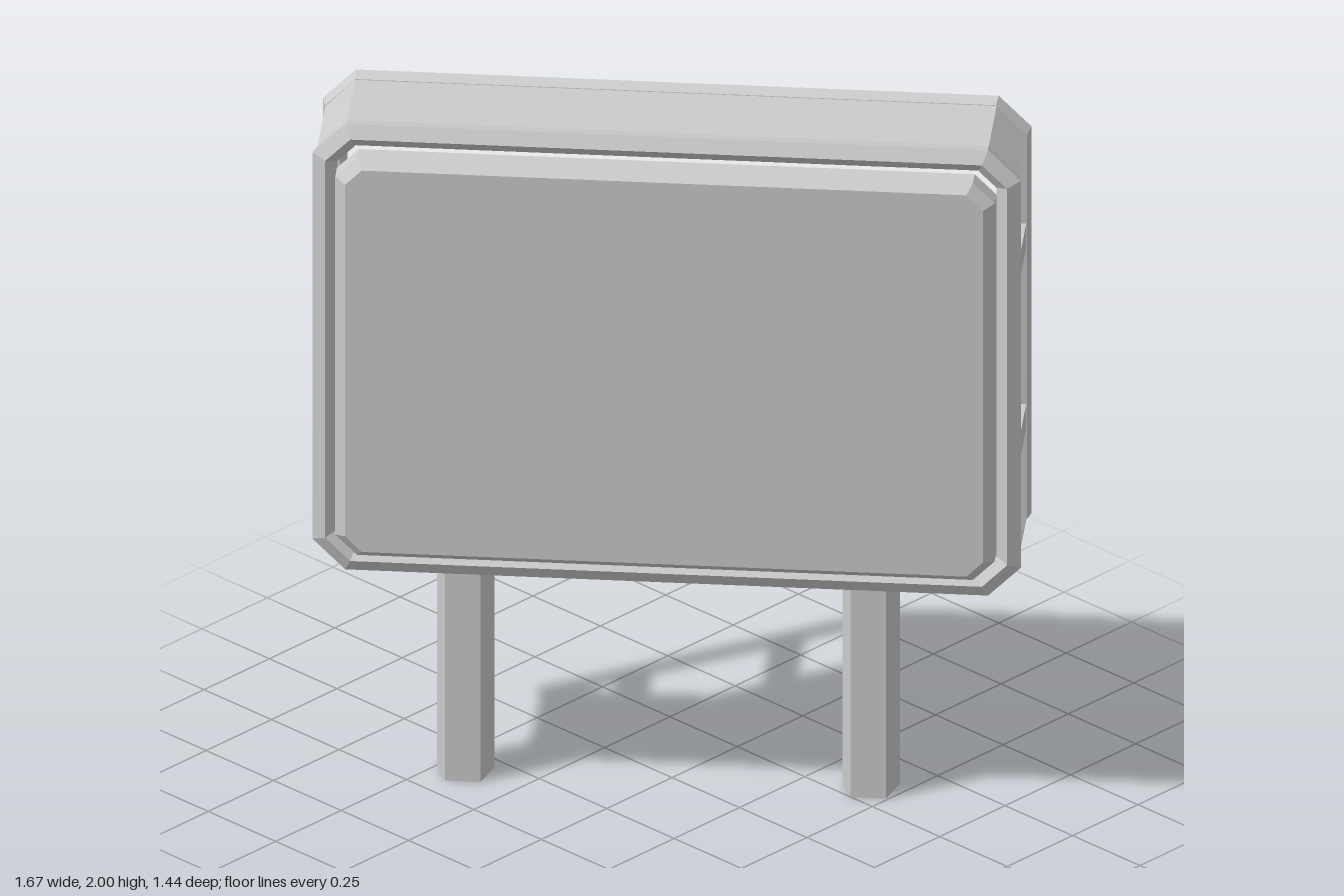
import * as THREE from 'three';

const HALF_W = 0.947, HALF_H = 0.667, MID_Y = 1.333;
const YAW = THREE.MathUtils.degToRad(39);
const material = new THREE.MeshStandardMaterial({ color: 0xcccccc, flatShading: true });
const openMaterial = new THREE.MeshStandardMaterial({
  color: 0xcccccc, flatShading: true, side: THREE.DoubleSide,
});

// Rectangle with cut corners, counter-clockwise seen from +z
function cutRectangle(w, h, c, z) {
  const quarter = [[w, h - c], [w - c, h]];
  const mirrored = (sx, sy) => quarter.map(([x, y]) => [x * sx, y * sy, z]);
  return [
    ...mirrored(1, 1), ...mirrored(-1, 1).reverse(),
    ...mirrored(-1, -1), ...mirrored(1, -1).reverse(),
  ];
}

// Flat-faced skin over a list of rings
function loft(rings, loop) {
  const positions = [];
  const count = rings[0].length;
  const triangle = (p, q, r) => {
    const same = (s, t) => s.every((v, k) => Math.abs(v - t[k]) < 1e-9);
    if (!same(p, q) && !same(q, r) && !same(r, p)) positions.push(...p, ...q, ...r);
  };
  for (let i = 0; i < rings.length - (loop ? 0 : 1); i++) {
    const low = rings[i], high = rings[(i + 1) % rings.length];
    for (let j = 0; j < count; j++) {
      const k = (j + 1) % count;
      triangle(low[j], low[k], high[k]);
      triangle(low[j], high[k], high[j]);
    }
  }
  const geometry = new THREE.BufferGeometry();
  geometry.setAttribute('position', new THREE.Float32BufferAttribute(positions, 3));
  geometry.computeVertexNormals();
  return geometry;
}

// Five-sided bar swept around the frame outline; side is 1 for front, -1 for back
function rimGeometry(side) {
  const rings = [];
  for (let i = 0; i < 5; i++) {
    const angle = 0.43 + i * Math.PI * 0.4;
    const offset = -0.032 + 0.035 * Math.cos(angle);
    const z = side * (0.1445 + 0.035 * Math.sin(angle));
    rings.push(cutRectangle(HALF_W + offset, HALF_H + offset, 0.088 + offset * 0.586, z));
  }
  if (side < 0) rings.reverse();
  return loft(rings, true);
}

// Top or bottom panel with its sloping corners
function panelGeometry(side) {
  const half = [[0.937, 0.574], [0.857, 0.657], [0.84, 0.614], [0.893, 0.53]];
  const [a, b, c, d] = half.map(([x, y]) => new THREE.Vector2(x, y * side));
  const flip = (p) => new THREE.Vector2(-p.x, p.y);
  const shape = new THREE.Shape([a, b, flip(b), flip(a), flip(d), flip(c), c, d]);
  return new THREE.ExtrudeGeometry(shape, { depth: 0.236, bevelEnabled: false }).translate(0, 0, -0.118);
}

export function createModel() {
  const model = new THREE.Group();
  model.name = 'billboard';
  model.rotation.y = YAW;

  const add = (name, geometry, x, y, z, surface = material) => {
    const mesh = new THREE.Mesh(geometry, surface);
    mesh.name = name;
    mesh.position.set(x, y, z);
    model.add(mesh);
  };

  // Open box frame: two rims joined by top and bottom panels
  add('frontRim', rimGeometry(1), 0, MID_Y, 0);
  add('backRim', rimGeometry(-1), 0, MID_Y, 0);
  add('topPanel', panelGeometry(1), 0, MID_Y, 0);
  add('bottomPanel', panelGeometry(-1), 0, MID_Y, 0);

  // Display board with a bevelled front edge
  const board = loft([
    cutRectangle(0, 0, 0, 0.16),
    cutRectangle(0.881, 0.594, 0.058, 0.16),
    cutRectangle(0.881, 0.594, 0.058, 0.213),
    cutRectangle(0.853, 0.571, 0.045, 0.24),
    cutRectangle(0, 0, 0, 0.24),
  ], false);
  add('displayBoard', board, 0, MID_Y, 0);

  // Side rungs and hollow five-sided legs, on the left and right
  const rung = new THREE.BoxGeometry(0.04, 0.072, 0.24);
  const leg = new THREE.CylinderGeometry(0.081, 0.081, 0.69, 5, 1, true).rotateY(Math.PI);
  for (const side of [1, -1]) {
    const label = side > 0 ? 'left' : 'right';
    add(label + 'UpperRung', rung, 0.916 * side, 1.605, 0);
    add(label + 'LowerRung', rung, 0.916 * side, 1.065, 0);
    add(label + 'Leg', leg, 0.542 * side - 0.011, 0.345, 0.005, openMaterial);
  }

  const root = new THREE.Group();
  root.name = 'billboardRoot';
  root.add(model);
  return root;
}
